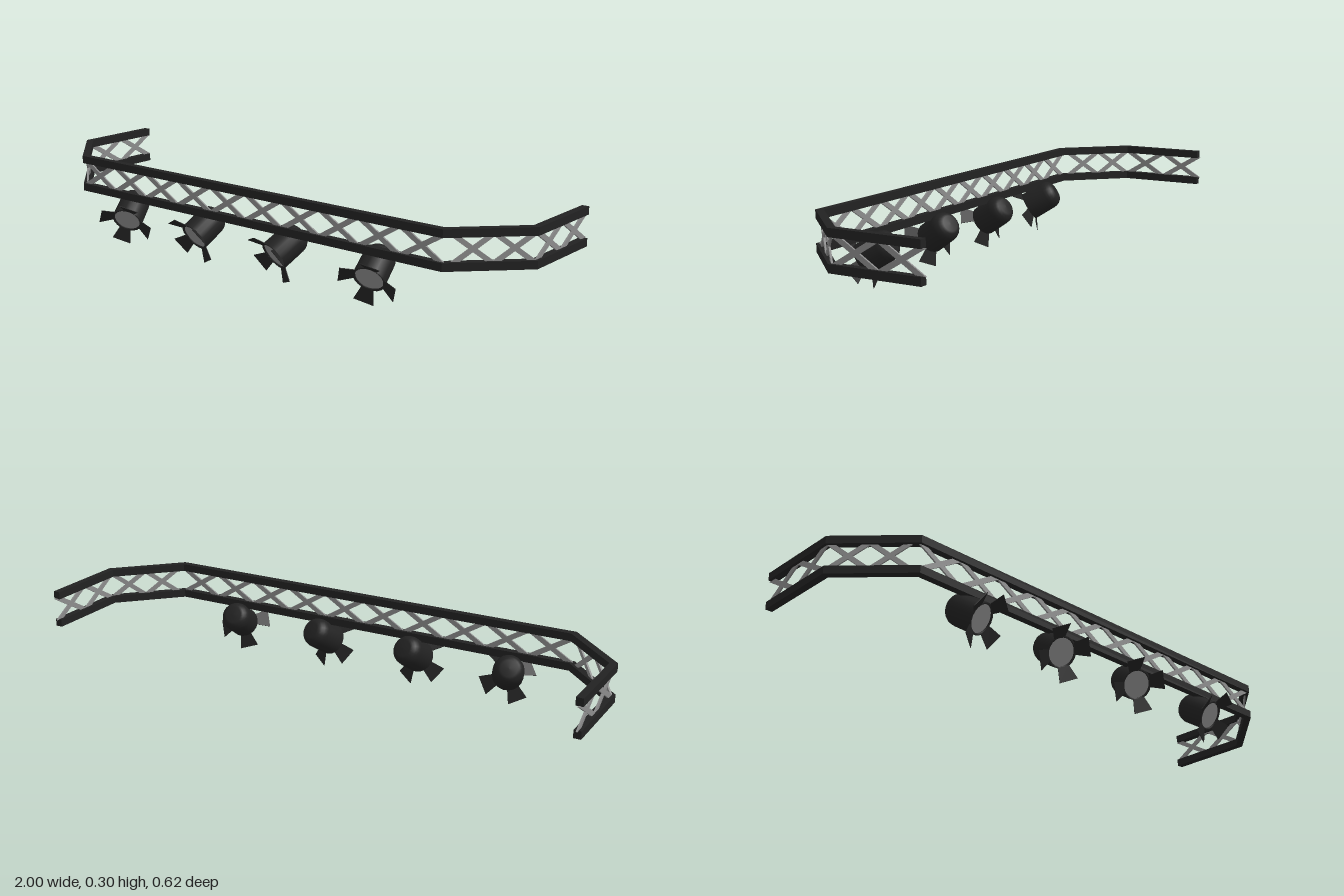
import * as THREE from 'three';

const dark = new THREE.MeshStandardMaterial({ color: 0x222222, side: THREE.DoubleSide });
const steel = new THREE.MeshStandardMaterial({ color: 0x8c8c8c });
const glass = new THREE.MeshStandardMaterial({ color: 0x8c8c8c });

function add(parent, name, geometry, material) {
  const mesh = new THREE.Mesh(geometry, material);
  mesh.name = name;
  parent.add(mesh);
  return mesh;
}

function polygon(points) {
  return new THREE.Shape(points.map(([x, y]) => new THREE.Vector2(x, y)));
}

// One mitred rail following the whole angled run, drawn as plan and extruded upwards
function railGeometry(height) {
  const edge = (h) => {
    const m = h * Math.tan(Math.PI / 8);
    const half = [[0.9875 + h, -0.3], [0.9875 + h, 0.0125 + m], [0.7875 + m, 0.2125 + h]];
    return [...half, ...half.map(([x, z]) => [-x, z]).reverse()];
  };
  const outline = [...edge(0.0125), ...edge(-0.0125).reverse()].map(([x, z]) => [x, -z]);
  return new THREE.ExtrudeGeometry(polygon(outline), { depth: height, bevelEnabled: false })
    .rotateX(-Math.PI / 2);
}

// Crossed flat braces between two plan points
function addBraces(parent, name, [x0, z0], [x1, z1], count) {
  const run = new THREE.Group();
  run.name = name;
  run.position.set(x0, 0.196, z0);
  run.rotation.y = -Math.atan2(z1 - z0, x1 - x0);
  const pitch = Math.hypot(x1 - x0, z1 - z0) / count;
  const half = pitch / 2 + 0.003, w = pitch * 0.21, h = 0.08;
  const bar = new THREE.ExtrudeGeometry(
    polygon([[-half, 0], [w - half, 0], [half, h], [half - w, h]]),
    { depth: 0.006, bevelEnabled: false }
  ).translate(0, 0, -0.003);
  for (let i = 0; i < count; i++) {
    for (const turn of [0, Math.PI]) {
      const brace = add(run, 'brace', bar, steel);
      brace.position.x = (i + 0.5) * pitch;
      brace.rotation.y = turn;
    }
  }
  parent.add(run);
}

// Lamp housing: rounded back, straight barrel and a turned-in rim, aimed along +z
function housingGeometry() {
  const profile = [[0, -0.0625]];
  for (let i = 1; i <= 6; i++) {
    const a = (i / 6) * Math.PI / 2;
    profile.push([0.02 + 0.034 * Math.sin(a), -0.0225 - 0.04 * Math.cos(a)]);
  }
  profile.push([0.055, 0.0625], [0.048, 0.0625], [0.048, 0.056]);
  return new THREE.LatheGeometry(profile.map(([r, y]) => new THREE.Vector2(r, y)), 20)
    .rotateX(Math.PI / 2);
}

function createSpotlight(housing, flap) {
  const lamp = new THREE.Group();
  lamp.name = 'spotlight';
  add(lamp, 'housing', housing, dark);
  add(lamp, 'lens', new THREE.CircleGeometry(0.049, 20), glass).position.z = 0.058;
  // Four flared shutters around the mouth
  for (let i = 0; i < 4; i++) {
    add(lamp, 'shutter', flap, dark).rotation.z = i * Math.PI / 2;
  }
  return lamp;
}

export function createModel() {
  const model = new THREE.Group();
  model.name = 'lightingTruss';

  const rail = railGeometry(0.027);
  add(model, 'lowerRail', rail, dark).position.y = 0.17;
  add(model, 'upperRail', rail, dark).position.y = 0.275;

  addBraces(model, 'frontBraces', [-0.79, 0.2125], [0.79, 0.2125], 10);
  for (const s of [-1, 1]) {
    addBraces(model, 'cornerBraces', [s * 0.806, 0.194], [s * 0.9875, 0.0125], 2);
    addBraces(model, 'sideBraces', [s * 0.9875, 0.01], [s * 0.9875, -0.307], 2);
  }

  const housing = housingGeometry();
  const flap = new THREE.ExtrudeGeometry(
    polygon([[-0.021, 0], [0.021, 0], [0.034, 0.05], [-0.034, 0.05]]),
    { depth: 0.002, bevelEnabled: false }
  ).rotateX(0.5).translate(0, 0.05, 0.061);

  // Position along the bar, yaw and roll of each lamp
  const lamps = [[-0.575, 0.4, -0.4], [-0.206, -0.15, 0.5], [0.162, -0.3, 0.42], [0.525, 0.2, -0.33]];
  for (const [x, yaw, roll] of lamps) {
    const lamp = createSpotlight(housing, flap);
    lamp.position.set(x, 0.13, 0.185);
    lamp.rotation.set(0.555, yaw, roll, 'YXZ');
    model.add(lamp);
  }
  return model;
}
